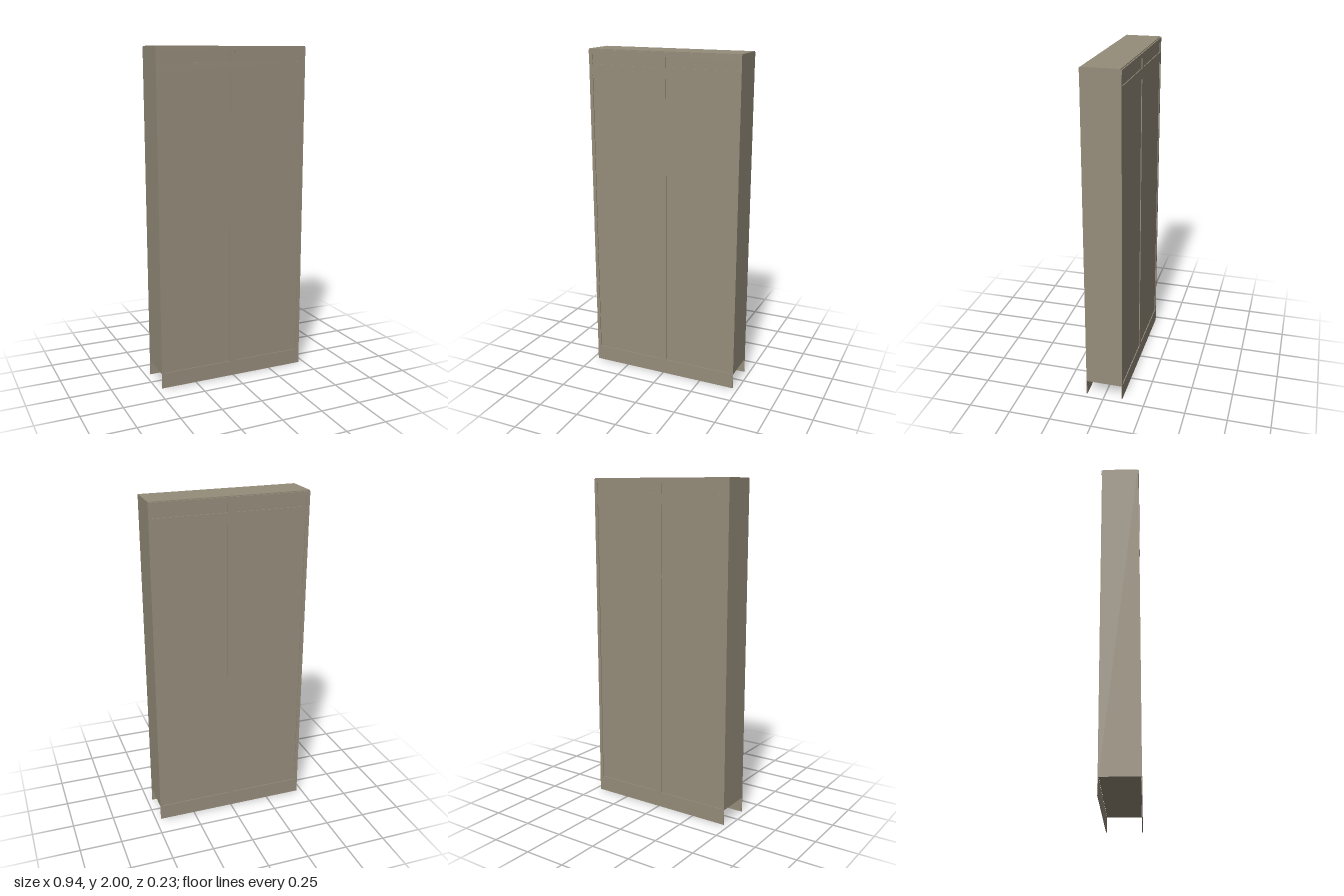
import * as THREE from 'three';

export function createModel() {
  const group = new THREE.Group();
  const taupe = new THREE.MeshStandardMaterial({ color: 0x968d7b });
  taupe.name = 'taupe';

  // Box given by its x, y and z ranges
  function box(name, x0, x1, y0, y1, z0, z1, parent = group) {
    const mesh = new THREE.Mesh(new THREE.BoxGeometry(x1 - x0, y1 - y0, z1 - z0), taupe);
    mesh.position.set((x0 + x1) / 2, (y0 + y1) / 2, (z0 + z1) / 2);
    mesh.name = name;
    parent.add(mesh);
  }

  const W = 0.468, panelZ = 0.106, trimZ = 0.111, edgeZ = 0.113;

  // Main body, raised above the floor
  box('body', -W, W, 0.092, 2, -panelZ, panelZ);

  // Identical framed faces on the front and the back
  for (const [name, turn] of [['frontFace', 0], ['backFace', Math.PI]]) {
    const face = new THREE.Group();
    face.name = name;
    face.rotation.y = turn;
    box('cornice', -W, W, 1.97, 1.995, panelZ, edgeZ, face);
    box('crossRail', -W, W, 1.85, 1.91, panelZ, trimZ, face);
    // Uprights stop at the cross rail and resume above it
    for (const [y0, y1] of [[0.092, 1.85], [1.91, 1.97]]) {
      box('leftStile', 0.447, W, y0, y1, panelZ, trimZ, face);
      box('rightStile', -W, -0.447, y0, y1, panelZ, trimZ, face);
      box('centreStile', -0.022, 0.022, y0, y1, panelZ, trimZ, face);
    }
    // Thin skirt reaching the floor, open at the ends
    box('skirt', -W, W, 0, 0.095, 0.1075, edgeZ - 0.001, face);
    group.add(face);
  }
  return group;
}
